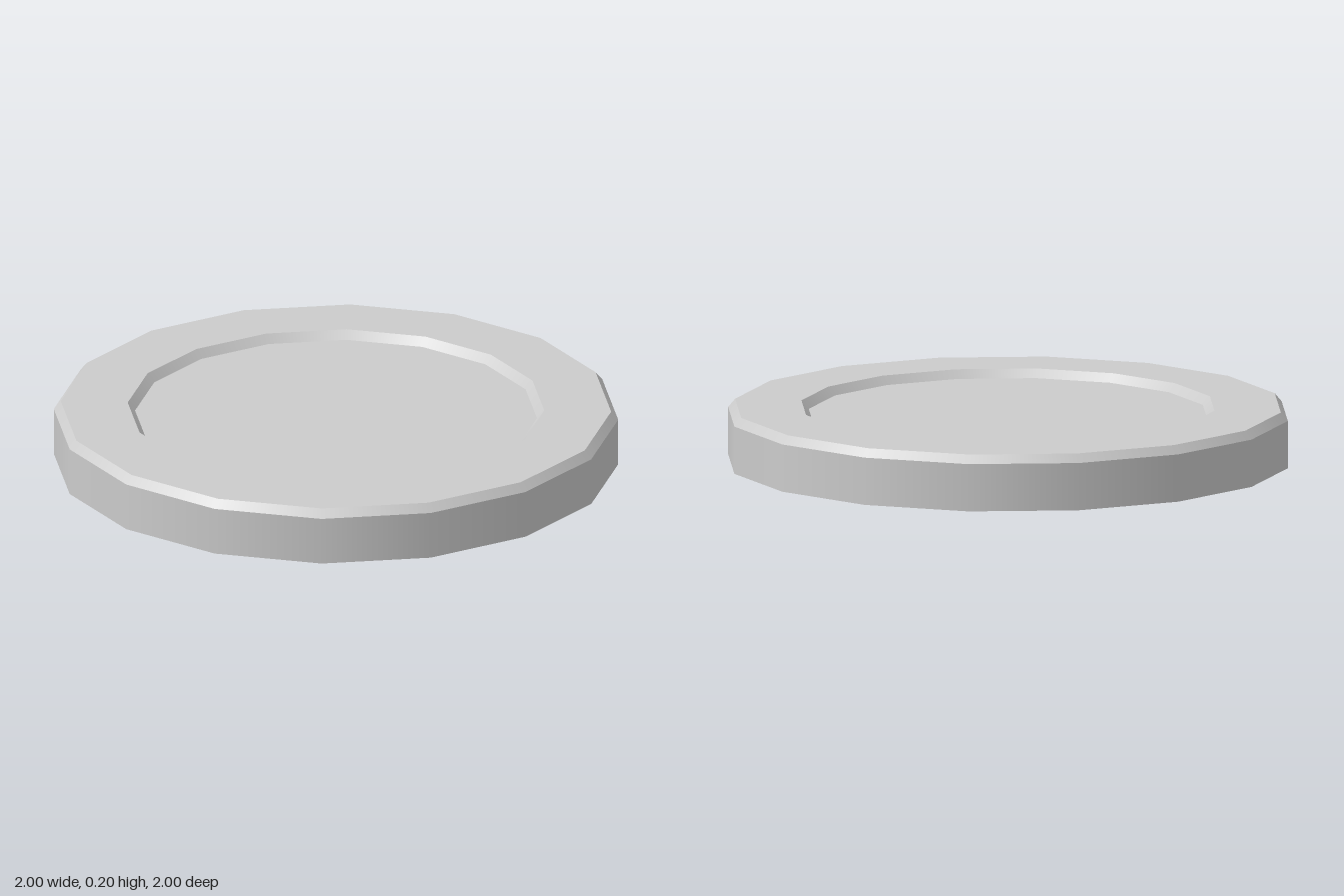
import * as THREE from 'three';

const SIDES = 16;
const material = new THREE.MeshStandardMaterial({ color: 0xcccccc });

// Each profile segment is its own band, smooth around the ring with crisp rims
function addBand(group, name, from, to) {
  const points = [new THREE.Vector2(...from), new THREE.Vector2(...to)];
  const mesh = new THREE.Mesh(new THREE.LatheGeometry(points, SIDES), material);
  mesh.name = name;
  group.add(mesh);
}

export function createModel() {
  const group = new THREE.Group();
  group.name = 'disc';

  // Cross-section [radius, height], from the underside centre round to the top centre
  const profile = [
    [0, 0.035],
    [0.86, 0.035],
    [0.885, 0],
    [1, 0],
    [1, 0.17],
    [0.975, 0.2],
    [0.738, 0.2],
    [0.712, 0.17],
    [0, 0.17],
  ];
  const names = [
    'undersideFloor', 'undersideSlope', 'footRing', 'outerWall',
    'outerChamfer', 'topRim', 'recessSlope', 'recessFloor',
  ];
  names.forEach((name, i) => addBand(group, name, profile[i], profile[i + 1]));
  return group;
}
